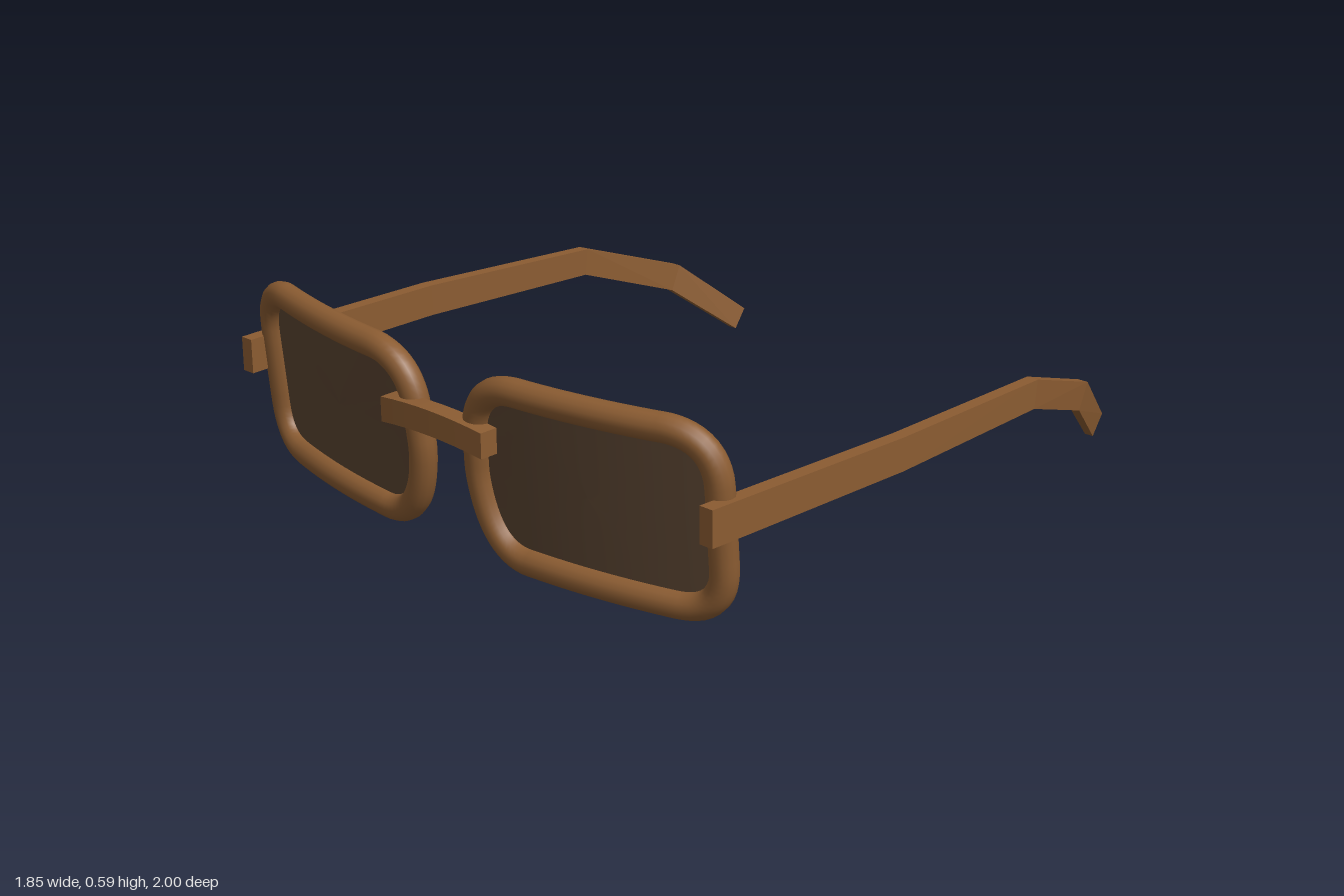
import * as THREE from 'three';

const frameMat = new THREE.MeshStandardMaterial({ color: 0x8b5c32 });
frameMat.name = 'brown frame';
const lensMat = new THREE.MeshStandardMaterial({ color: 0x5b4532, side: THREE.DoubleSide });
lensMat.name = 'dark lens';

// Wrap of the front: curves back towards the temples and leans forward at the top
const bend = (x, y) => 0.9 + 0.09 * y - 0.23 * Math.max(0, x - 0.15) ** 2;

// Centre line of one rim, anticlockwise, rounder on the nose side
function rimOutline() {
  const x0 = 0.11, x1 = 0.852, y0 = 0.072, y1 = 0.555, rn = 0.15, rt = 0.125;
  const s = new THREE.Shape();
  s.moveTo(x0 + rn, y0);
  s.lineTo(x1 - rt, y0 + 0.004);
  s.quadraticCurveTo(x1 - 0.008, y0 + 0.008, x1 - 0.002, y0 + rt);
  s.lineTo(x1, y1 - rt);
  s.quadraticCurveTo(x1 - 0.008, y1 - 0.008, x1 - rt, y1);
  s.lineTo(x0 + rn, y1 - 0.008);
  s.quadraticCurveTo(x0 + 0.02, y1 - 0.02, x0 + 0.006, y1 - rn);
  s.lineTo(x0, y0 + rn + 0.07);
  s.quadraticCurveTo(x0 + 0.018, y0 + 0.012, x0 + rn, y0);
  return s.getSpacedPoints(72).slice(0, -1);
}

// Tube bent along the outline
function rimGeometry(outline) {
  const pts = outline.map(p => new THREE.Vector3(p.x, p.y, bend(p.x, p.y)));
  return new THREE.TubeGeometry(new THREE.CatmullRomCurve3(pts, true), 120, 0.038, 14, true);
}

// Curved sheet made from concentric copies of the outline
function lensGeometry(outline) {
  const pos = [], idx = [], n = outline.length, rings = 6, cx = 0.48, cy = 0.31;
  for (let r = 0; r <= rings; r++) {
    for (const p of outline) {
      const x = cx + (p.x - cx) * r / rings, y = cy + (p.y - cy) * r / rings;
      pos.push(x, y, bend(x, y));
    }
  }
  for (let r = 0; r < rings; r++) {
    for (let i = 0; i < n; i++) {
      const j = (i + 1) % n, a = r * n + i, b = r * n + j, c = a + n, d = b + n;
      idx.push(a, c, d);
      if (r > 0) idx.push(a, d, b);
    }
  }
  const g = new THREE.BufferGeometry();
  g.setAttribute('position', new THREE.Float32BufferAttribute(pos, 3));
  g.setIndex(idx);
  g.computeVertexNormals();
  return g;
}

// Flat-sided bar through four-cornered sections, anticlockwise as seen from its start
function loft(sections) {
  const pos = [];
  const quad = (a, b, c, d) => pos.push(...a, ...b, ...c, ...a, ...c, ...d);
  for (let s = 0; s < sections.length - 1; s++) {
    const p = sections[s], q = sections[s + 1];
    for (let i = 0; i < 4; i++) {
      const j = (i + 1) % 4;
      quad(p[i], q[i], q[j], p[j]);
    }
  }
  quad(...sections[0]);
  quad(...[...sections[sections.length - 1]].reverse());
  const g = new THREE.BufferGeometry();
  g.setAttribute('position', new THREE.Float32BufferAttribute(pos, 3));
  g.computeVertexNormals();
  return g;
}

// Temple arm: x, half width, top z and y, bottom z and y
function templeGeometry() {
  return loft([
    [0.88, 0.021, 0.905, 0.403, 0.905, 0.303],
    [0.887, 0.021, 0.77, 0.402, 0.77, 0.303],
    [0.905, 0.02, 0.21, 0.391, 0.21, 0.297],
    [0.873, 0.018, -0.42, 0.367, -0.41, 0.284],
    [0.803, 0.016, -0.775, 0.245, -0.74, 0.167],
    [0.715, 0.014, -1.0, 0.06, -0.957, 0.0],
  ].map(([x, w, zt, yt, zb, yb]) => [
    [x - w, yb, zb], [x + w, yb, zb], [x + w, yt, zt], [x - w, yt, zt],
  ]));
}

// Gently arched bridge across the front: x, centre y, centre z
function bridgeGeometry() {
  const sections = [];
  for (let i = 0; i <= 8; i++) {
    const t = 1 - i / 4, x = 0.193 * t, y = 0.408 - 0.012 * t * t, z = 0.97 - 0.003 * t * t;
    const h = 0.035, d = 0.027;
    sections.push([[x, y - h, z + d], [x, y - h, z - d], [x, y + h, z - d], [x, y + h, z + d]]);
  }
  return loft(sections);
}

// Reflected copy in x with its faces turned right side out
function mirrored(geometry) {
  const g = geometry.clone().scale(-1, 1, 1);
  const idx = g.index ? [...g.index.array] : Array.from({ length: g.attributes.position.count }, (_, i) => i);
  for (let i = 0; i < idx.length; i += 3) [idx[i + 1], idx[i + 2]] = [idx[i + 2], idx[i + 1]];
  g.setIndex(idx);
  return g;
}

export function createModel() {
  const model = new THREE.Group();
  model.name = 'glasses';
  const add = (name, geometry, material) => {
    const mesh = new THREE.Mesh(geometry, material);
    mesh.name = name;
    model.add(mesh);
  };
  const outline = rimOutline();
  const parts = [
    ['Rim', rimGeometry(outline), frameMat],
    ['Lens', lensGeometry(outline), lensMat],
    ['Temple', templeGeometry(), frameMat],
  ];
  for (const [name, geometry, material] of parts) {
    add('left' + name, geometry, material);
    add('right' + name, mirrored(geometry), material);
  }
  add('bridge', bridgeGeometry(), frameMat);
  return model;
}
